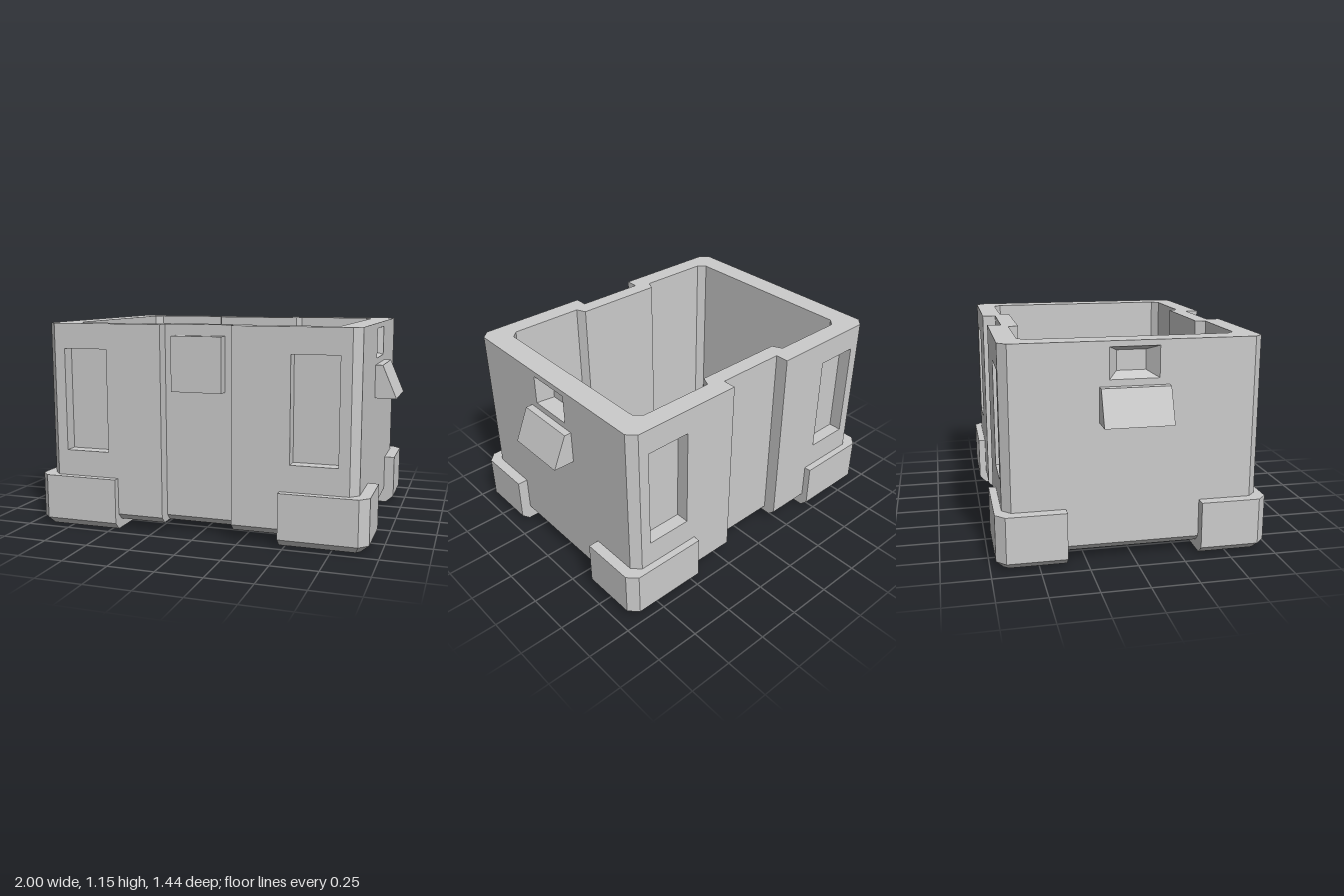
import * as THREE from 'three';

const V = (x, y, z) => new THREE.Vector3(x, y, z);
const material = new THREE.MeshStandardMaterial({ color: 0xcccccc, flatShading: true });

// Collects flat polygons (corners counter-clockwise from outside), optionally mirrored
class Solid {
  constructor(sx = 1, sz = 1) {
    this.sx = sx;
    this.sz = sz;
    this.out = [];
  }
  face(pts, holes = []) {
    const mirror = l => l.map(p => V(p.x * this.sx, p.y, p.z * this.sz));
    const outer = mirror(pts);
    if (this.sx * this.sz < 0) outer.reverse();
    const n = V(0, 0, 0);
    outer.forEach((p, i) => n.add(p.clone().cross(outer[(i + 1) % outer.length])));
    n.normalize();
    const u = outer[1].clone().sub(outer[0]).normalize();
    const v = n.clone().cross(u);
    const rings = [outer, ...holes.map(mirror)];
    const flat = rings.map(r => r.map(p => new THREE.Vector2(p.dot(u), p.dot(v))));
    const all = rings.flat();
    for (const tri of THREE.ShapeUtils.triangulateShape(flat[0], flat.slice(1)))
      for (const i of tri) this.out.push(all[i].x, all[i].y, all[i].z);
  }
  strip(a, b, closed = true) {
    const n = a.length;
    for (let i = 0; i < (closed ? n : n - 1); i++) {
      const j = (i + 1) % n;
      this.face([a[i], a[j], b[j], b[i]]);
    }
  }
  mesh(name) {
    const g = new THREE.BufferGeometry();
    g.setAttribute('position', new THREE.Float32BufferAttribute(this.out, 3));
    g.computeVertexNormals();
    const m = new THREE.Mesh(g, material);
    m.name = name;
    return m;
  }
}

const level = (pts, y) => pts.map(([x, z]) => V(x, y, z));
const flip = pts => [...pts].reverse();
const rect = (x0, x1, z) => [[x0, z], [x1, z], [x1, -z], [x0, -z]];

// Chamfered rectangle with a groove (half width w, depth g, slant s) front and back
function outline(X, Z, c, w, g, s) {
  const half = [[-X, Z - c], [-X + c, Z], [-w - s, Z], [-w, Z - g],
    [w, Z - g], [w + s, Z], [X - c, Z], [X, Z - c]];
  return [...half, ...half.map(([x, z]) => [-x, -z])];
}

function crateBody() {
  const s = new Solid();
  const top = 1.15, low = 0.085, bottom = 0.05, floor = 0.12;
  const outer = outline(0.88, 0.68, 0.045, 0.2, 0.075, 0);
  const base = outline(0.845, 0.645, 0.035, 0.2, 0.075, 0);
  const inner = outline(0.75, 0.57, 0.04, 0.26, 0.055, 0.025);

  // Pockets per wall: span along the wall, height span, depth, taper
  const tall = (u0, u1) => ({ u0, u1, v0: 0.435, v1: 1.01, depth: 0.075, tu: 0, tv: 0 });
  const pockets = {
    1: tall(-0.775, -0.52),
    5: tall(0.52, 0.775),
    7: { u0: -0.13, u1: 0.13, v0: 0.955, v1: 1.12, depth: 0.08, tu: 0.053, tv: 0.03 },
  };

  // Outer walls with their pockets
  const lo = level(outer, low), hi = level(outer, top);
  lo.forEach((a, i) => {
    const j = (i + 1) % lo.length;
    const quad = [a, lo[j], hi[j], hi[i]];
    const k = pockets[i % 8];
    if (!k) return s.face(quad);
    const t = lo[j].clone().sub(a).normalize();
    const n = V(-t.z, 0, t.x);
    const ring = (d, tu, tv) => [[k.u0 + tu, k.v0 + tv], [k.u1 - tu, k.v0 + tv],
      [k.u1 - tu, k.v1 - tv], [k.u0 + tu, k.v1 - tv]].map(([u, y]) =>
      n.clone().multiplyScalar(a.dot(n) - d).addScaledVector(t, u).setY(y));
    const mouth = ring(0, 0, 0), back = ring(k.depth, k.tu, k.tv);
    s.face(quad, [mouth]);
    s.strip(mouth, back);
    s.face(back);
  });

  // Rim, cavity, floor and bevelled underside
  s.face(hi, [level(inner, top)]);
  s.strip(level(inner, top), level(inner, floor));
  s.face(level(inner, floor));
  s.strip(level(base, bottom), lo);
  s.face(flip(level(base, bottom)));
  return s.mesh('crateBody');
}

// Corner guard wrapping two walls and the underside
function cornerFoot(sx, sz) {
  const s = new Solid(sx, sz);
  const xi = 0.465, zi = 0.355, h = 0.29, slab = 0.055;
  const outer = [[xi, 0.72], [0.89, 0.72], [0.94, 0.67], [0.94, zi]];
  const base = [[xi, 0.68], [0.873, 0.68], [0.895, 0.655], [0.895, zi]];
  const inner = [[xi, 0.64], [0.8, 0.64], [0.84, 0.6], [0.84, zi]];
  const rows = [level(base, 0), level(outer, 0.04), level(outer, h), level(inner, h)];
  for (let i = 0; i < 3; i++) s.strip(rows[i], rows[i + 1], false);
  s.face(flip(level([...base, [xi, zi]], 0)));
  // End faces
  s.face([V(xi, 0, zi), ...rows.map(r => r[0]), V(xi, slab, 0.64), V(xi, slab, zi)]);
  s.face([V(xi, slab, zi), V(0.84, slab, zi), ...flip(rows.map(r => r[3])), V(xi, 0, zi)]);
  return s.mesh('cornerFoot');
}

// Sloped grip, hollow from below
function sideHandle(sx) {
  const s = new Solid(sx, 1);
  const low = level(rect(0.88, 1.0, 0.18), 0.735);
  const high = level(rect(0.88, 0.92, 0.18), 0.92);
  const mouth = level(rect(0.9, 0.965, 0.15), 0.735);
  const roof = level(rect(0.9, 0.92, 0.15), 0.85);
  s.strip(low, high);
  s.face(high);
  s.face(flip(low), [mouth]);
  s.strip(roof, mouth);
  s.face(flip(roof));
  return s.mesh('sideHandle');
}

export function createModel() {
  const group = new THREE.Group();
  group.name = 'crate';
  group.add(crateBody());
  for (const sx of [1, -1]) {
    group.add(sideHandle(sx));
    for (const sz of [1, -1]) group.add(cornerFoot(sx, sz));
  }
  // Latch block in the front groove
  const latch = new THREE.Mesh(new THREE.BoxGeometry(0.285, 0.3, 0.065), material);
  latch.name = 'frontLatch';
  latch.position.set(0, 0.94, 0.6375);
  group.add(latch);
  return group;
}
